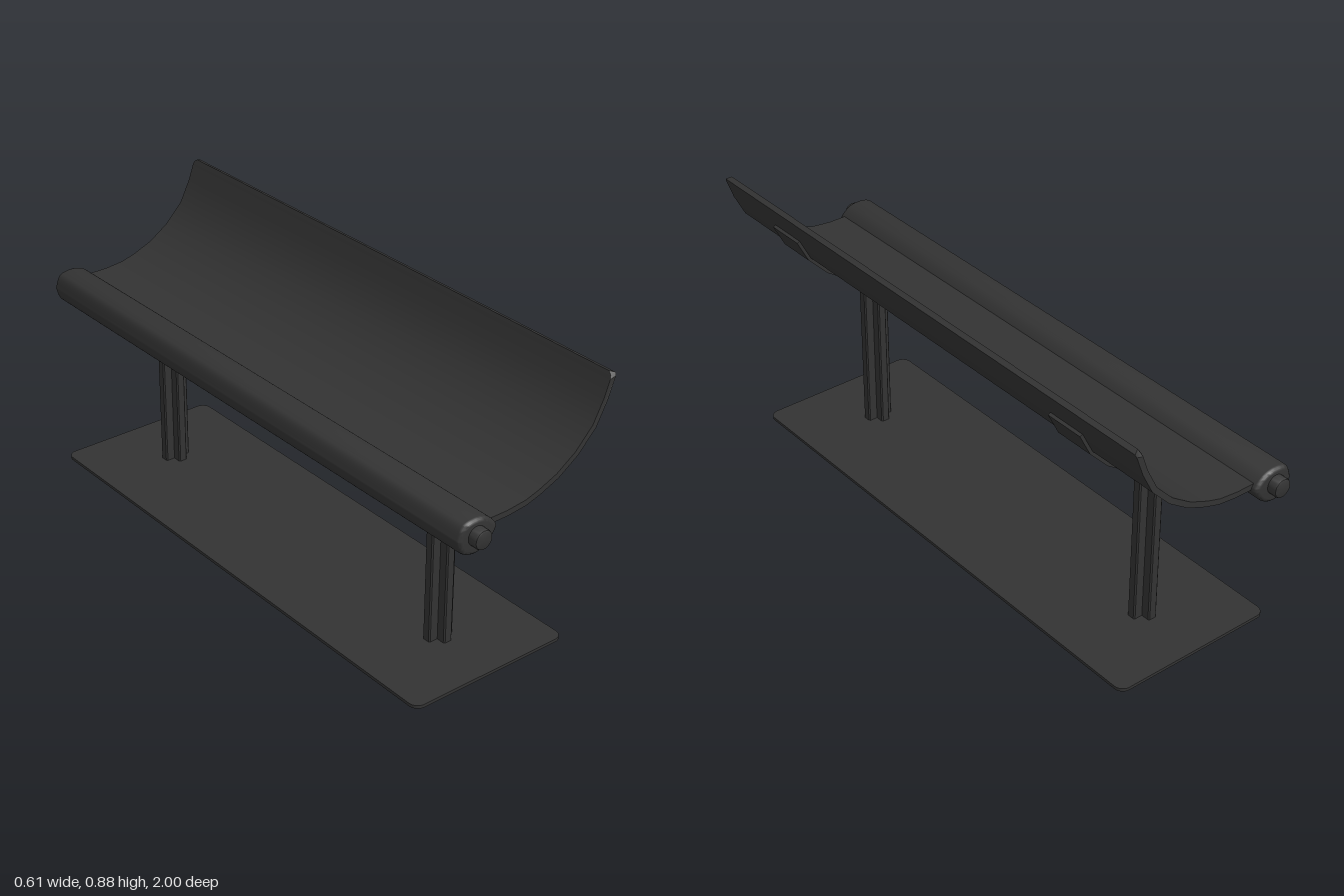
import * as THREE from 'three';
import { toCreasedNormals } from 'three/addons/utils/BufferGeometryUtils.js';

const material = new THREE.MeshStandardMaterial({ color: 0x333333 });

const toShape = (pts) => new THREE.Shape(pts.map(([x, y]) => new THREE.Vector2(x, y)));

// Extrude a shape along z, centred on z = 0, with an optional inward bevel.
function extrude(shape, length, bevel = 0) {
  const g = new THREE.ExtrudeGeometry(shape, {
    depth: length - 2 * bevel, bevelEnabled: bevel > 0, bevelSize: bevel,
    bevelThickness: bevel, bevelOffset: -bevel, bevelSegments: 3, curveSegments: 6,
  });
  return g.translate(0, 0, bevel - length / 2);
}

// Push a polyline sideways to its outer (lower right) side.
function offset(pts, d) {
  return pts.map(([x, y], i) => {
    const a = pts[Math.max(i - 1, 0)], b = pts[Math.min(i + 1, pts.length - 1)];
    const tx = b[0] - a[0], ty = b[1] - a[1], l = Math.hypot(tx, ty);
    return [x + (d * ty) / l, y - (d * tx) / l];
  });
}

export function createModel() {
  const group = new THREE.Group();
  const add = (name, geometry, x = 0, y = 0, z = 0, crease = 0.6) => {
    const mesh = new THREE.Mesh(toCreasedNormals(geometry, crease), material);
    mesh.name = name;
    mesh.position.set(x, y, z);
    group.add(mesh);
    return mesh;
  };

  // Base plate with rounded corners
  const w = 0.278, h = 0.877, r = 0.03;
  const plate = new THREE.Shape();
  plate.absarc(w - r, h - r, r, 0, Math.PI / 2);
  plate.absarc(-w + r, h - r, r, Math.PI / 2, Math.PI);
  plate.absarc(-w + r, -h + r, r, Math.PI, Math.PI * 1.5);
  plate.absarc(w - r, -h + r, r, Math.PI * 1.5, Math.PI * 2);
  add('basePlate', extrude(plate, 0.01).rotateX(-Math.PI / 2), -0.03, 0.005, 0);

  // Cross-section posts
  const a = 0.015, b = 0.045, c = 0.004;
  const arm = [[b, -a + c], [b, a - c], [b - c, a], [a, a], [a, b - c]];
  const cross = [];
  for (let i = 0; i < 4; i++) {
    const [cs, sn] = [[1, 0], [0, 1], [-1, 0], [0, -1]][i];
    arm.forEach(([x, y]) => cross.push([x * cs - y * sn, x * sn + y * cs]));
  }
  const postHeight = 0.552;
  for (const side of [1, -1]) {
    add(side > 0 ? 'frontPost' : 'backPost',
      extrude(toShape(cross), postHeight).rotateX(-Math.PI / 2), -0.032, postHeight / 2, side * 0.652);
  }

  // Curved sheet: inner profile, thickened outward, upper corners rounded
  const curve = [[-0.15, 0.59], [-0.075, 0.59], [-0.01, 0.597], [0.037, 0.611], [0.1, 0.637],
    [0.166, 0.681], [0.225, 0.742], [0.26, 0.81], [0.279, 0.862], [0.283, 0.873], [0.286, 0.881]];
  const sheet = extrude(toShape([...offset(curve, 0.018), ...curve.slice().reverse()]), 1.902);
  const p = sheet.attributes.position, cr = 0.02;
  for (let i = 0; i < p.count; i++) {
    const t = Math.min(Math.max(p.getY(i) - 0.862, 0), cr);
    const inset = cr - Math.sqrt(cr * cr - t * t);
    p.setZ(i, p.getZ(i) - Math.sign(p.getZ(i)) * inset);
  }
  add('curvedSheet', sheet);

  // Beam under the sheet
  const beamTop = offset(curve.slice(0, 5), 0.016);
  add('supportBeam', extrude(toShape([[-0.14, 0.551], [0.045, 0.551], [0.1, 0.606],
    ...beamTop.reverse()]), 1.62), 0, 0, 0, 0.4);

  // Straps climbing the back of the sheet
  const strap = toShape([...offset(curve, 0.028).slice(3, 8), ...offset(curve, 0.014).slice(3, 8).reverse()]);
  for (const side of [1, -1]) {
    add(side > 0 ? 'frontStrap' : 'backStrap', extrude(strap, 0.13), 0, 0, side * 0.652);
  }

  // Teardrop roll along the lower edge
  const roll = new THREE.Shape();
  const drop = [[-0.262, 0.568], [-0.245, 0.527], [-0.2, 0.512], [-0.16, 0.526], [-0.13, 0.563],
    [-0.13, 0.583], [-0.16, 0.611], [-0.2, 0.62], [-0.244, 0.61], [-0.262, 0.568]];
  roll.moveTo(...drop[0]);
  roll.splineThru(drop.slice(1).map(([x, y]) => new THREE.Vector2(x, y)));
  add('edgeRoll', extrude(roll, 1.94, 0.012), 0, 0, 0, 0.7);

  // Pins at both ends of the roll
  const pinProfile = [[0, 0], [0.03, 0], [0.03, 0.044], [0.028, 0.048], [0.024, 0.05], [0, 0.05]]
    .map(([x, y]) => new THREE.Vector2(x, y));
  for (const side of [1, -1]) {
    const pin = add(side > 0 ? 'frontPin' : 'backPin', new THREE.LatheGeometry(pinProfile, 24),
      -0.2, 0.57, side * 0.95);
    pin.rotation.x = (side * Math.PI) / 2;
  }
  return group;
}
